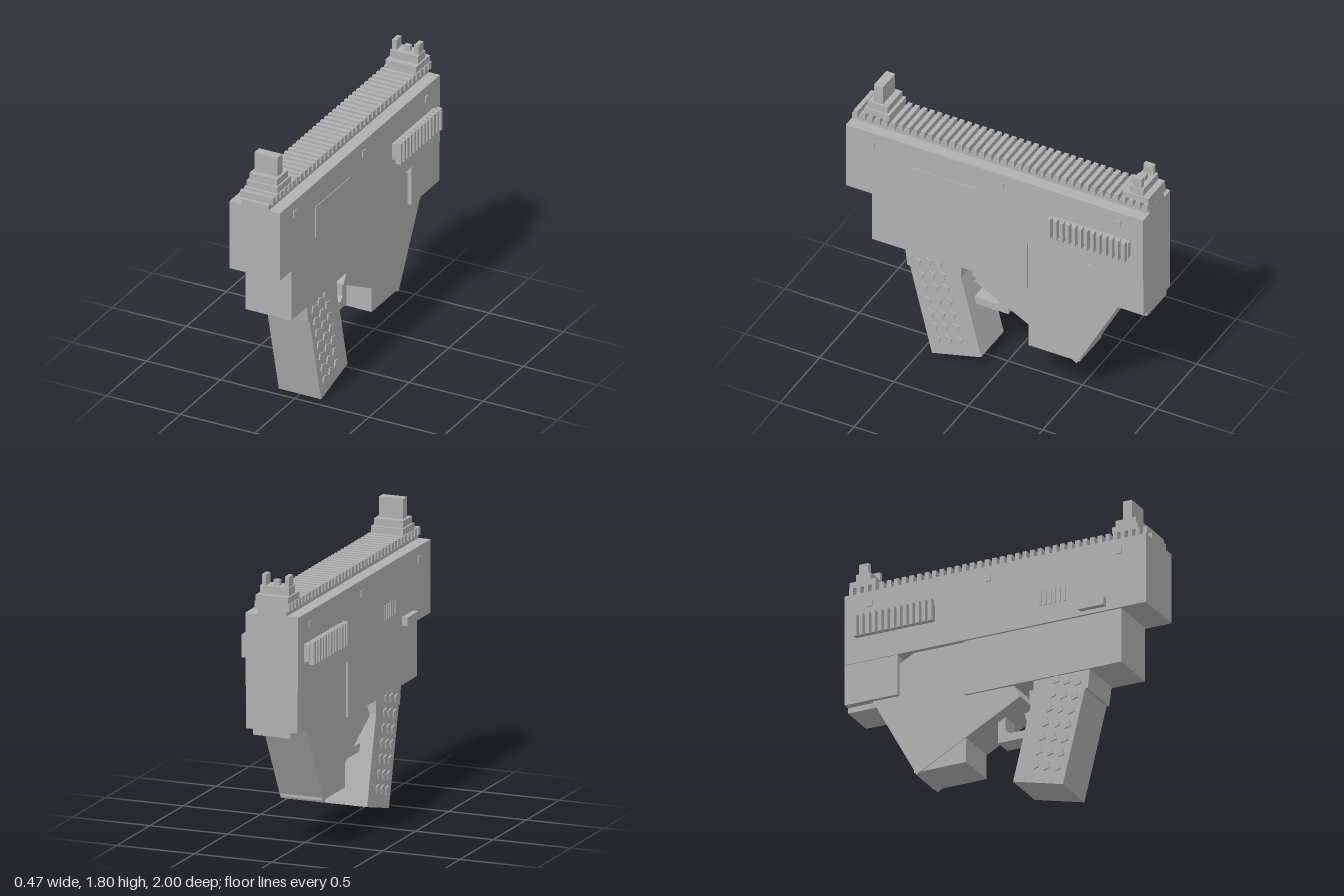
import * as THREE from 'three';

export function createModel() {
  const model = new THREE.Group();
  const grey = new THREE.MeshStandardMaterial({ color: 0xb0b0b0 });
  grey.name = 'grey';

  const add = (name, geometry, parent = model) => {
    const mesh = new THREE.Mesh(geometry, grey);
    mesh.name = name;
    parent.add(mesh);
    return mesh;
  };

  const group = (name) => {
    const g = new THREE.Group();
    g.name = name;
    model.add(g);
    return g;
  };

  // Box given by its extents along each axis
  const box = (name, x0, x1, y0, y1, z0, z1, parent) => {
    const mesh = add(name, new THREE.BoxGeometry(x1 - x0, y1 - y0, z1 - z0), parent);
    mesh.position.set((x0 + x1) / 2, (y0 + y1) / 2, (z0 + z1) / 2);
    return mesh;
  };

  // Box centred on x
  const slab = (name, half, y0, y1, z0, z1, parent) => box(name, -half, half, y0, y1, z0, z1, parent);

  // Side profile of [z, y] points extruded across x
  const profile = (name, half, points, parent) => {
    const shape = new THREE.Shape(points.map(([z, y]) => new THREE.Vector2(-z, y)));
    const geometry = new THREE.ExtrudeGeometry(shape, { depth: half * 2, bevelEnabled: false });
    geometry.translate(0, 0, -half).rotateY(Math.PI / 2);
    return add(name, geometry, parent);
  };

  // Main housings
  slab('upperBody', 0.17, 1.07, 1.52, -1, 1);
  slab('lowerBody', 0.155, 0.72, 1.07, -0.21, 0.83);
  slab('endBlock', 0.165, 0.81, 1.07, -1, -0.65);
  slab('endBlockFoot', 0.12, 0.775, 0.81, -1, -0.81);

  // Top rail with evenly spaced teeth
  const rail = group('topRail');
  slab('railBase', 0.093, 1.52, 1.555, -1, 1, rail);
  for (let i = 0; i < 40; i++) {
    const z = 0.965 - i * 0.05;
    slab('railTooth', 0.112, 1.55, 1.597, z - 0.014, z + 0.014, rail);
  }

  // Sight with a single broad post
  const postSight = group('postSight');
  slab('sightBase', 0.104, 1.595, 1.636, 0.74, 0.91, postSight);
  slab('sightStep', 0.093, 1.636, 1.68, 0.76, 0.895, postSight);
  slab('sightPost', 0.078, 1.68, 1.805, 0.8, 0.86, postSight);

  // Sight with two ears and a small centre post
  const notchSight = group('notchSight');
  slab('sightBase', 0.104, 1.595, 1.636, -1, -0.825, notchSight);
  slab('sightStep', 0.093, 1.636, 1.685, -0.96, -0.865, notchSight);
  slab('sightBead', 0.02, 1.685, 1.72, -0.93, -0.9, notchSight);
  for (const s of [-1, 1]) {
    const ear = slab('sightEar', 0.014, 1.685, 1.75, -0.945, -0.88, notchSight);
    ear.position.x = s * 0.074;
  }

  // Side vents and pins, mirrored
  for (const s of [-1, 1]) {
    const side = group(s > 0 ? 'leftDetails' : 'rightDetails');
    const plate = slab('ventPlate', 0.02, 1.232, 1.338, -0.915, -0.4, side);
    plate.position.x = s * 0.183;
    for (let i = 0; i < 13; i++) {
      const z = -0.4 - i * 0.0415;
      const rib = slab('ventRib', 0.018, 1.215, 1.357, z - 0.01, z + 0.01, side);
      rib.position.x = s * 0.218;
    }
    for (const z of [0.82, -0.045, -0.83]) {
      const pin = slab('pin', 0.006, 1.42, 1.46, z - 0.018, z + 0.018, side);
      pin.position.x = s * 0.171;
    }
  }

  // Details on one side only
  box('portCover', 0.166, 0.175, 1.155, 1.36, 0.13, 0.56);
  box('catch', -0.205, -0.15, 1.095, 1.147, 0.565, 0.735);
  for (let i = 0; i < 6; i++) {
    const z = 0.3 + i * 0.032;
    box('markerBar', -0.176, -0.166, 1.19, 1.28, z - 0.008, z + 0.008);
  }

  // Grip with raised square studs
  const grip = group('grip');
  profile('gripBody', 0.143, [
    [0.435, 0.005], [0.105, 0.09], [0.205, 0.5], [0.24, 0.63],
    [0.24, 0.72], [0.615, 0.72], [0.6, 0.6], [0.582, 0.6],
  ], grip);
  for (const s of [-1, 1]) {
    for (let row = 0; row < 7; row++) {
      for (let col = 0; col < 3; col++) {
        const stud = add('gripStud', new THREE.BoxGeometry(0.014, 0.043, 0.043), grip);
        stud.position.set(s * 0.145, 0.655 - row * 0.0885 + col * 0.021, 0.533 - row * 0.0225 - col * 0.073);
        stud.rotation.x = -0.25;
      }
    }
  }

  // Trigger and its guard
  profile('trigger', 0.03, [
    [0.2, 0.72], [0.225, 0.58], [0.18, 0.575], [0.165, 0.6], [0.155, 0.72],
  ]);
  const tip = slab('triggerTip', 0.03, 0.535, 0.585, 0.13, 0.18);
  tip.rotation.x = -0.25;
  profile('triggerGuard', 0.06, [
    [0.2, 0.455], [0.04, 0.455], [0.015, 0.48], [0.015, 0.62],
    [-0.035, 0.62], [-0.035, 0.405], [0.18, 0.405],
  ]);

  // Tilted fore block and its foot
  profile('foreBlock', 0.14, [
    [0.15, 0.64], [-0.537, 0.273], [-0.874, 0.898], [-0.187, 1.265],
  ]);
  slab('foreFoot', 0.135, 0.288, 0.7, -0.555, -0.21);

  return model;
}
